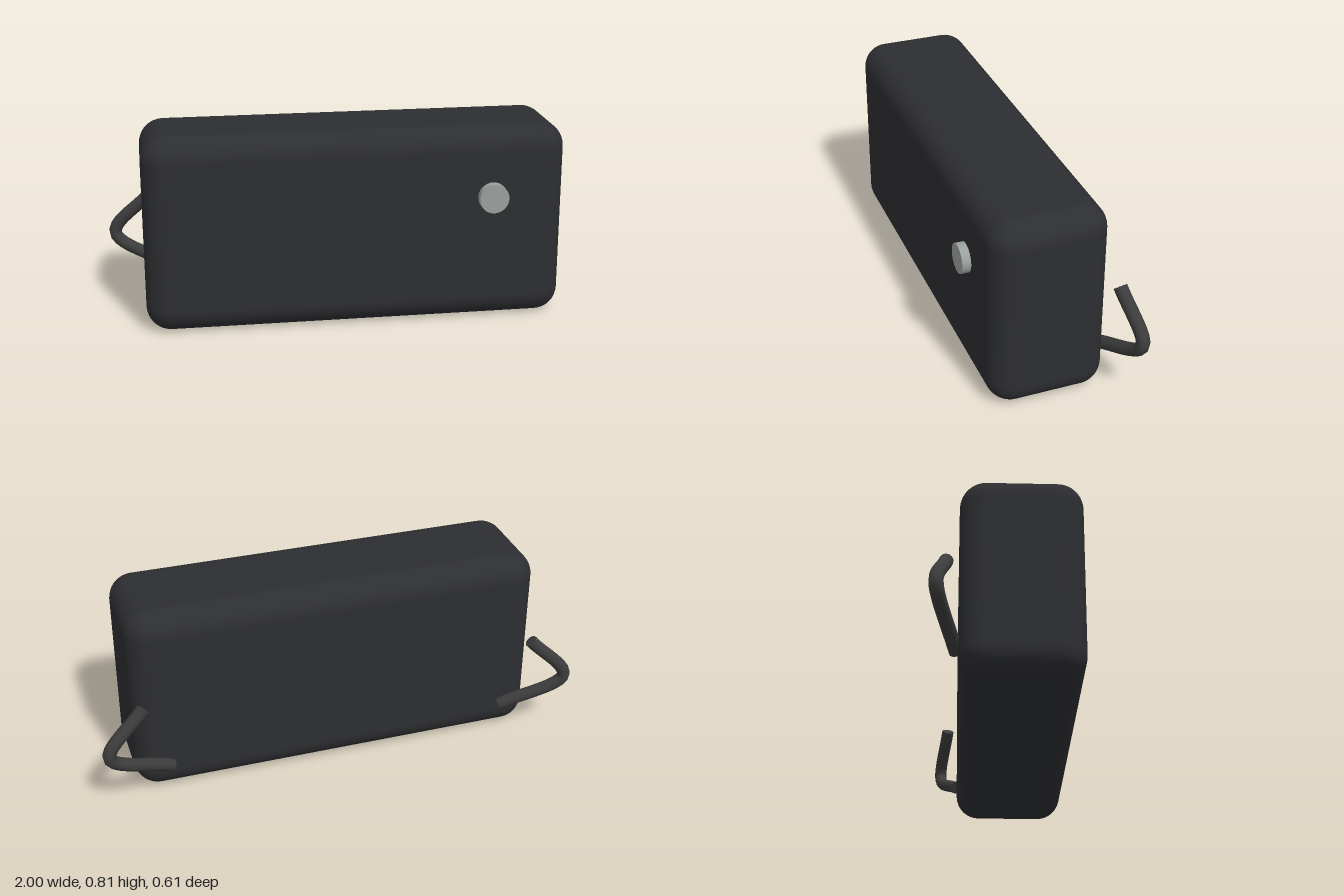
import * as THREE from 'three';
import { RoundedBoxGeometry } from 'three/addons/geometries/RoundedBoxGeometry.js';

const paint = (color) => new THREE.MeshStandardMaterial({ color });

export function createModel() {
  const group = new THREE.Group();
  const add = (name, geometry, material, parent = group) => {
    const mesh = new THREE.Mesh(geometry, material);
    mesh.name = name;
    parent.add(mesh);
    return mesh;
  };

  // Rounded case
  add('body', new RoundedBoxGeometry(1.708, 0.808, 0.468, 5, 0.1), paint(0x2d2e31))
    .position.set(0, 0.404, 0.036);

  // Round button on the front
  const button = add('button', new THREE.CylinderGeometry(0.06, 0.06, 0.07, 32), paint(0x9aa09f));
  button.rotation.x = Math.PI / 2;
  button.position.set(0.545, 0.527, 0.27);

  // Bent handles behind the lower corners, mirrored
  const dark = paint(0x3c3c3d);
  const radius = 0.027;
  for (const side of [1, -1]) {
    const handle = new THREE.Group();
    handle.name = side > 0 ? 'leftHandle' : 'rightHandle';
    group.add(handle);
    const curve = new THREE.CatmullRomCurve3([
      new THREE.Vector3(side * 0.715, 0.127, -0.203),
      new THREE.Vector3(side * 0.972, 0.27, -0.276),
      new THREE.Vector3(side * 0.822, 0.447, -0.244),
    ]);
    add('handleBar', new THREE.TubeGeometry(curve, 24, radius, 12), dark, handle);

    // Flat end caps facing outward
    for (const t of [0, 1]) {
      const cap = add('handleEnd', new THREE.CircleGeometry(radius, 12), dark, handle);
      const outward = curve.getTangentAt(t).multiplyScalar(t ? 1 : -1);
      cap.position.copy(curve.getPointAt(t));
      cap.quaternion.setFromUnitVectors(new THREE.Vector3(0, 0, 1), outward);
    }
  }
  return group;
}
